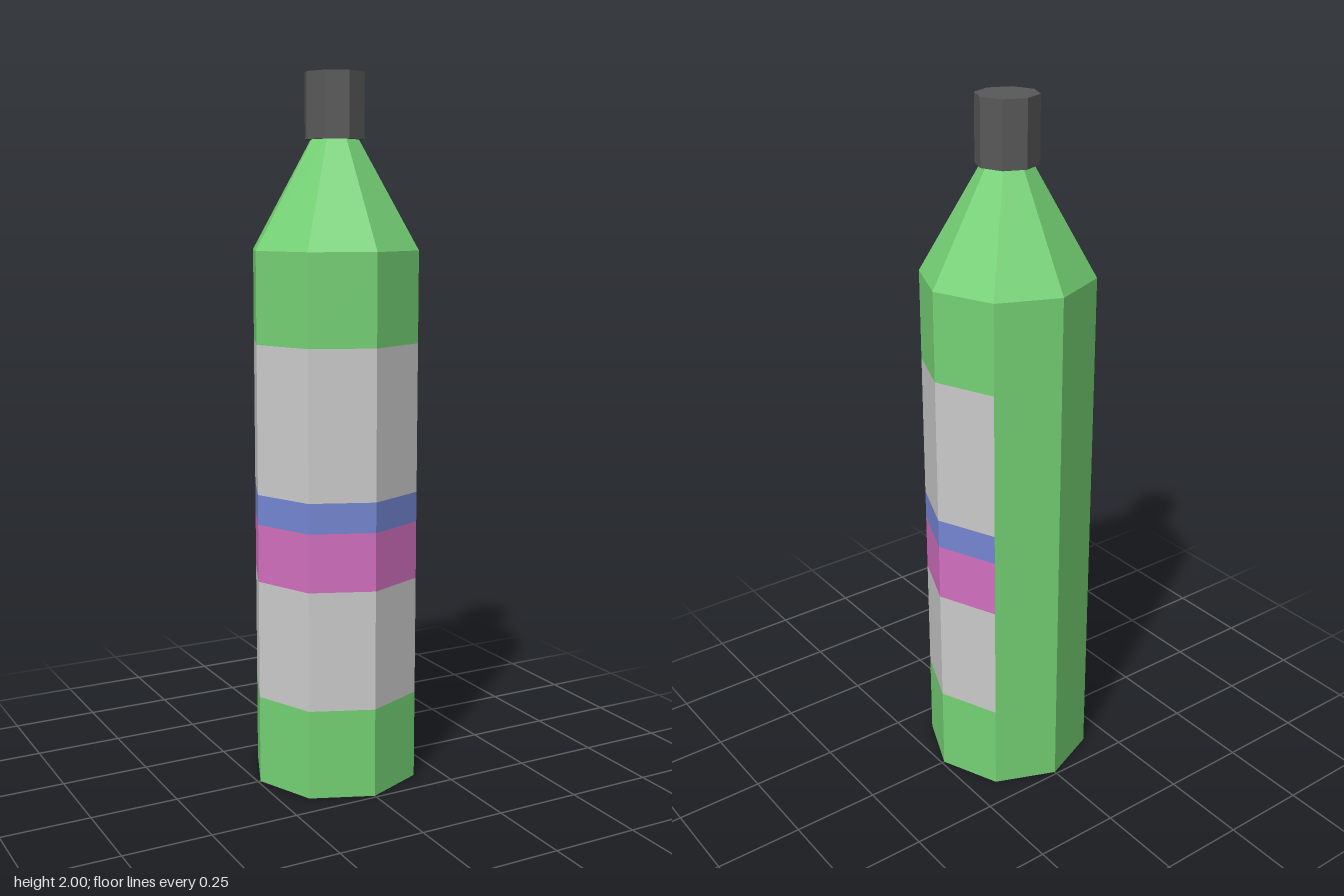
import * as THREE from 'three';

const SIDES = 8;
const R = 0.242;

const paint = (color) => new THREE.MeshStandardMaterial({ color, flatShading: true });

export function createModel() {
  const group = new THREE.Group();
  const green = paint(0x75d275);
  const grey = paint(0xcccccc);
  const pink = paint(0xd370c0);
  const blue = paint(0x7586d3);
  const dark = paint(0x595959);

  const add = (name, geometry, material, y = 0) => {
    const mesh = new THREE.Mesh(geometry, material);
    mesh.name = name;
    mesh.position.y = y;
    group.add(mesh);
  };

  // Open octagonal wall between two heights, over a run of faces
  const wall = (name, y0, y1, r0, r1, material, first = 0, count = SIDES) => {
    const step = (Math.PI * 2) / SIDES;
    const geometry = new THREE.CylinderGeometry(r1, r0, y1 - y0, count, 1, true, first * step, count * step);
    add(name, geometry, material, (y0 + y1) / 2);
  };

  // Body: plain bands below and above the label, plain strip of two faces at the back
  wall('lowerBody', 0, 0.255, R, R, green);
  wall('upperBody', 1.265, 1.52, R, R, green);
  wall('backBody', 0.255, 1.265, R, R, green, 3, 2);

  // Label: stacked bands wrapping the other six faces
  const bands = [
    ['labelLower', 0.255, 0.595, grey],
    ['labelWideStripe', 0.595, 0.76, pink],
    ['labelNarrowStripe', 0.76, 0.845, blue],
    ['labelUpper', 0.845, 1.265, grey],
  ];
  for (const [name, y0, y1, material] of bands) wall(name, y0, y1, R, R, material, 5, 6);

  // Tapered shoulder
  wall('shoulder', 1.52, 1.82, R, 0.07, green);

  // Base disc facing down, its corners matching the wall
  add('base', new THREE.CircleGeometry(R, SIDES).rotateX(Math.PI / 2), green);

  // Cap
  add('cap', new THREE.CylinderGeometry(0.086, 0.086, 0.18, SIDES), dark, 1.91);

  return group;
}
